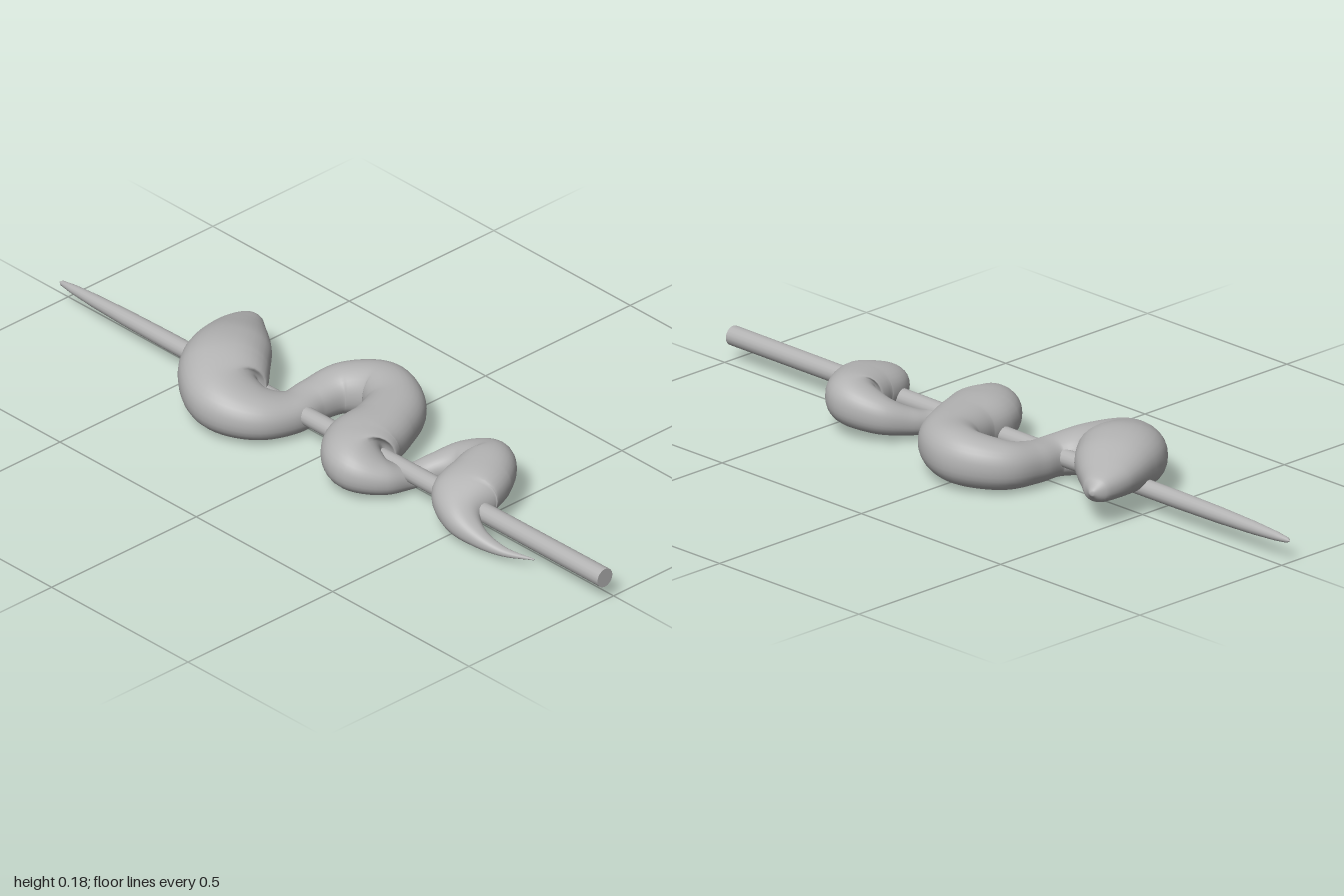
import * as THREE from 'three';

// Snake stations from snout to tail tip: x, y, z, half width, half height
const stations = [
  [-0.482, 0.100, -0.163, 0.006, 0.006],
  [-0.476, 0.102, -0.140, 0.036, 0.032],
  [-0.450, 0.108, -0.080, 0.072, 0.050],
  [-0.400, 0.110, 0.000, 0.104, 0.074],
  [-0.345, 0.101, 0.080, 0.116, 0.087],
  [-0.270, 0.084, 0.135, 0.102, 0.078],
  [-0.190, 0.068, 0.110, 0.084, 0.063],
  [-0.145, 0.057, 0.040, 0.059, 0.052],
  [-0.145, 0.060, -0.040, 0.056, 0.054],
  [-0.125, 0.071, -0.125, 0.064, 0.063],
  [-0.035, 0.083, -0.177, 0.072, 0.071],
  [0.055, 0.084, -0.135, 0.080, 0.070],
  [0.105, 0.085, -0.040, 0.087, 0.070],
  [0.130, 0.084, 0.050, 0.100, 0.071],
  [0.178, 0.078, 0.102, 0.087, 0.066],
  [0.238, 0.058, 0.080, 0.056, 0.046],
  [0.267, 0.042, 0.020, 0.034, 0.032],
  [0.291, 0.052, -0.040, 0.036, 0.036],
  [0.340, 0.073, -0.098, 0.050, 0.051],
  [0.420, 0.092, -0.112, 0.068, 0.063],
  [0.463, 0.092, -0.045, 0.084, 0.064],
  [0.485, 0.083, 0.030, 0.086, 0.060],
  [0.535, 0.064, 0.082, 0.052, 0.044],
  [0.600, 0.045, 0.095, 0.028, 0.026],
  [0.680, 0.030, 0.083, 0.014, 0.012],
  [0.772, 0.036, 0.060, 0.002, 0.002],
];

// Sweeps upright oval sections along the winding body
function bodyGeometry(rings, sides) {
  const path = new THREE.CatmullRomCurve3(stations.map(s => new THREE.Vector3(s[0], s[1], s[2])));
  const sizes = new THREE.CatmullRomCurve3(stations.map(s => new THREE.Vector3(s[3], s[4], 0)), false, 'catmullrom');
  const positions = [], index = [];
  const up = new THREE.Vector3(0, 1, 0);
  const round = v => Math.sign(v) * Math.pow(Math.abs(v), 0.9);
  for (let i = 0; i <= rings; i++) {
    const t = i / rings;
    const c = path.getPoint(t), size = sizes.getPoint(t);
    const along = path.getTangent(t).setY(0).normalize();
    const side = new THREE.Vector3().crossVectors(up, along);
    for (let j = 0; j < sides; j++) {
      const a = j / sides * Math.PI * 2;
      const p = c.clone().addScaledVector(side, size.x * round(Math.cos(a)));
      p.y = Math.max(0.001, p.y + size.y * round(Math.sin(a)));
      positions.push(p.x, p.y, p.z);
    }
  }
  for (let i = 0; i < rings; i++) {
    for (let j = 0; j < sides; j++) {
      const k = (j + 1) % sides;
      const a = i * sides + j, b = i * sides + k;
      index.push(a, b, b + sides, a, b + sides, a + sides);
    }
  }
  // Snout and tail tip caps
  const last = rings * sides;
  for (let j = 1; j < sides - 1; j++) {
    index.push(0, j + 1, j, last, last + j, last + j + 1);
  }
  const g = new THREE.BufferGeometry();
  g.setAttribute('position', new THREE.Float32BufferAttribute(positions, 3));
  g.setIndex(index);
  g.computeVertexNormals();
  return g;
}

export function createModel() {
  const grey = new THREE.MeshStandardMaterial({ color: 0xb3b3b3 });
  grey.name = 'grey';
  const group = new THREE.Group();

  const snake = new THREE.Mesh(bodyGeometry(200, 32), grey);
  snake.name = 'snake';
  group.add(snake);

  // Stick with a long tapered point
  const stick = new THREE.Group();
  stick.name = 'stick';
  const profile = [[0, -1], [0.007, -0.99], [0.012, -0.95], [0.017, -0.87], [0.021, -0.75], [0.023, -0.6], [0.024, 0], [0.026, 1]];
  const shaft = new THREE.Mesh(
    new THREE.LatheGeometry(profile.map(([r, y]) => new THREE.Vector2(r, y)), 16), grey);
  shaft.name = 'shaft';
  const end = new THREE.Mesh(new THREE.CircleGeometry(0.026, 16), grey);
  end.name = 'shaftEnd';
  end.rotation.x = -Math.PI / 2;
  end.position.y = 1;
  stick.add(shaft, end);
  stick.rotation.z = -Math.PI / 2 + 0.004;
  stick.position.set(0, 0.066, 0.03);
  group.add(stick);

  return group;
}
